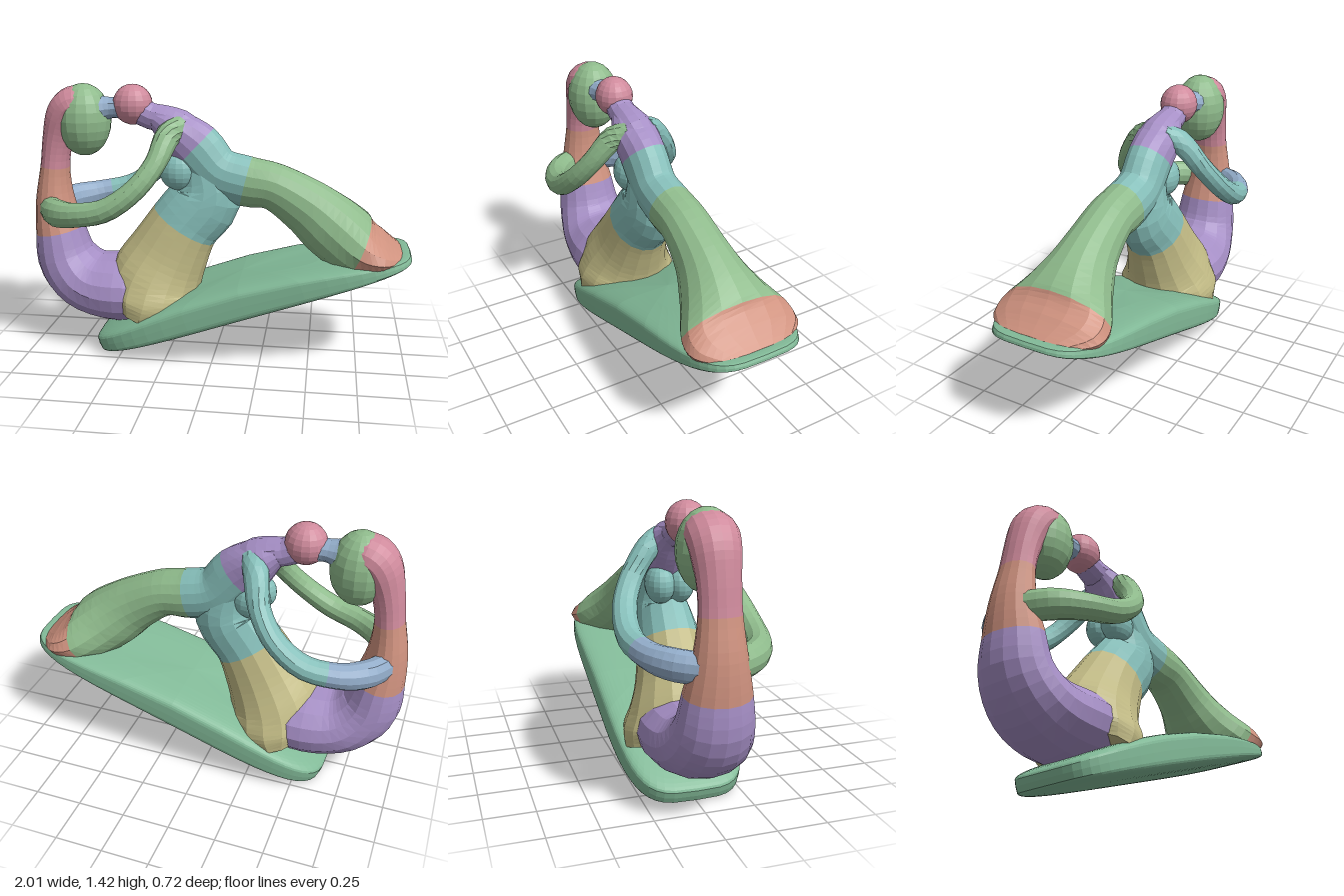
import * as THREE from 'three';

const PINK = 0xcf8a9c, ORANGE = 0xcf927f, GREEN = 0x8fbb8c, TEAL = 0x86bfba, BLUE = 0x92acc9,
  PURPLE = 0xa68fc6, YELLOW = 0xc3bc86, MINT = 0x82ba98;

const material = (color) => new THREE.MeshStandardMaterial({ color, flatShading: true });

// Sweep an oval through stations [x, y, z, half thickness, half width],
// divided along its length into one band per colour
function sweep(name, stations, colors, sides = 16, stepsPerBand = 8) {
  const group = new THREE.Group();
  group.name = name;
  const path = new THREE.CatmullRomCurve3(stations.map((s) => new THREE.Vector3(s[0], s[1], s[2])), false, 'catmullrom');
  const size = new THREE.CatmullRomCurve3(stations.map((s) => new THREE.Vector3(s[3], s[4], 0)), false, 'catmullrom');
  colors.forEach((color, k) => {
    const pos = [], index = [];
    for (let i = 0; i <= stepsPerBand; i++) {
      const t = (k + i / stepsPerBand) / colors.length;
      const p = path.getPoint(t), r = size.getPoint(t), dir = path.getTangent(t);
      const n = new THREE.Vector3(-dir.y, dir.x, 0).normalize();
      const b = new THREE.Vector3().crossVectors(dir, n);
      for (let j = 0; j < sides; j++) {
        const a = (j / sides) * Math.PI * 2;
        const v = p.clone().addScaledVector(n, r.x * Math.cos(a)).addScaledVector(b, r.y * Math.sin(a));
        pos.push(v.x, v.y, v.z);
        if (i < stepsPerBand) {
          const A = i * sides + j, B = i * sides + ((j + 1) % sides);
          index.push(A, B, B + sides, A, B + sides, A + sides);
        }
      }
    }
    // close the two outer ends
    const last = stepsPerBand * sides;
    for (let j = 1; j < sides - 1; j++) {
      if (k === 0) index.push(0, j + 1, j);
      if (k === colors.length - 1) index.push(last, last + j, last + j + 1);
    }
    const geo = new THREE.BufferGeometry();
    geo.setAttribute('position', new THREE.Float32BufferAttribute(pos, 3));
    geo.setIndex(index);
    geo.computeVertexNormals();
    const mesh = new THREE.Mesh(geo, material(color));
    mesh.name = `${name}Band${k + 1}`;
    group.add(mesh);
  });
  return group;
}

function ellipsoid(name, [x, y, z], [rx, ry, rz], color) {
  const mesh = new THREE.Mesh(new THREE.SphereGeometry(1, 16, 12).scale(rx, ry, rz), material(color));
  mesh.position.set(x, y, z);
  mesh.name = name;
  return mesh;
}

// Tilted slab: a sphere squared off in plan and profile, flat underneath,
// thick at the middle and thin at the raised end
function makeBase() {
  const half = 0.87;
  const geo = new THREE.SphereGeometry(1, 48, 24);
  const p = geo.attributes.position;
  const power = (c, e) => Math.sign(c) * Math.abs(c) ** e;
  for (let i = 0; i < p.count; i++) {
    const ring = Math.hypot(p.getX(i), p.getZ(i));
    const spread = ring ** 0.36 / (ring || 1) ** 0.5;
    const u = power(p.getX(i), 0.5) * spread, w = power(p.getZ(i), 0.5) * spread;
    const s = (u + 1) / 2;
    const thickness = 0.16 * (0.8 - 0.45 * s + 0.6 * Math.sin(Math.PI * s));
    p.setXYZ(i, half + half * u, thickness * (0.5 + 0.5 * power(p.getY(i), 0.36)), 0.32 * w);
  }
  geo.rotateZ(0.342).translate(-0.62, -0.01, 0);
  geo.computeVertexNormals();
  const mesh = new THREE.Mesh(geo, material(MINT));
  mesh.name = 'base';
  return mesh;
}

export function createModel() {
  const model = new THREE.Group();
  model.name = 'embracingFigures';
  model.add(makeBase());

  // Large figure: shoulders, back and the rear leg that flares into the base
  model.add(sweep('torsoAndRearLeg', [
    [-0.32, 1.27, 0, 0.06, 0.08], [-0.235, 1.215, 0, 0.105, 0.12], [-0.12, 1.115, 0, 0.145, 0.115],
    [0, 0.99, 0, 0.135, 0.115], [0.15, 0.945, 0, 0.135, 0.12], [0.3, 0.92, 0, 0.125, 0.125],
    [0.47, 0.82, 0, 0.15, 0.145], [0.6, 0.72, 0, 0.17, 0.2], [0.74, 0.63, 0, 0.155, 0.285],
    [0.86, 0.605, 0, 0.085, 0.29], [0.96, 0.595, 0, 0.02, 0.18],
  ], [PURPLE, TEAL, GREEN, GREEN, ORANGE]));
  model.add(sweep('frontLeg', [
    [-0.08, 1.03, 0, 0.12, 0.1], [-0.06, 0.86, 0, 0.185, 0.13], [-0.18, 0.7, 0, 0.19, 0.16],
    [-0.27, 0.535, 0, 0.22, 0.195], [-0.33, 0.41, 0, 0.25, 0.245], [-0.355, 0.31, 0, 0.25, 0.285],
    [-0.38, 0.23, 0, 0.18, 0.28],
  ], [TEAL, YELLOW, YELLOW]));

  // Small bent figure: lap, back and neck
  model.add(sweep('seatedFigureBody', [
    [-0.2, 0.37, 0, 0.1, 0.18], [-0.47, 0.335, 0, 0.18, 0.25], [-0.7, 0.355, 0, 0.17, 0.23],
    [-0.83, 0.47, 0, 0.16, 0.19], [-0.87, 0.65, 0, 0.13, 0.16], [-0.89, 0.82, 0, 0.1, 0.125],
    [-0.88, 1.0, 0, 0.075, 0.1], [-0.855, 1.15, 0, 0.08, 0.1], [-0.81, 1.27, 0, 0.1, 0.115],
    [-0.75, 1.33, 0, 0.1, 0.12], [-0.66, 1.35, 0, 0.07, 0.09],
  ], [PURPLE, PURPLE, ORANGE, PINK, PINK]));
  model.add(ellipsoid('seatedFigureHead', [-0.71, 1.25, 0], [0.145, 0.19, 0.14], GREEN));

  // Upper head, its neck and the touch between the two heads
  model.add(ellipsoid('upperHead', [-0.445, 1.335, 0], [0.105, 0.105, 0.1], PINK));
  model.add(sweep('upperNeck', [
    [-0.14, 1.19, 0, 0.08, 0.08], [-0.2, 1.225, 0, 0.09, 0.1], [-0.28, 1.26, 0, 0.075, 0.085],
    [-0.35, 1.275, 0, 0.07, 0.075], [-0.42, 1.31, 0, 0.075, 0.07],
  ], [PURPLE], 12));
  model.add(sweep('headContact', [
    [-0.66, 1.3, 0, 0.1, 0.1], [-0.56, 1.315, 0, 0.055, 0.065], [-0.46, 1.315, 0, 0.07, 0.07],
  ], [BLUE], 12));

  // Mirrored arms wrapping around the small figure, and the chest
  for (const s of [1, -1]) {
    const side = s > 0 ? 'front' : 'back';
    const color = s > 0 ? GREEN : TEAL;
    model.add(sweep(`${side}Arm`, [
      [-0.19, 1.235, 0.04 * s, 0.06, 0.06], [-0.24, 1.19, 0.125 * s, 0.065, 0.06],
      [-0.285, 1.07, 0.215 * s, 0.055, 0.057], [-0.38, 0.945, 0.28 * s, 0.055, 0.06],
      [-0.53, 0.84, 0.3 * s, 0.06, 0.062], [-0.7, 0.8, 0.265 * s, 0.065, 0.062],
      [-0.82, 0.785, 0.185 * s, 0.075, 0.065], [-0.9, 0.775, 0.06 * s, 0.075, 0.06],
    ], [color, color, s > 0 ? GREEN : BLUE], 12));
    model.add(ellipsoid(`${side}Chest`, [-0.2, 1.0, 0.05 * s], [0.1, 0.1, 0.075], TEAL));
  }
  return model;
}
